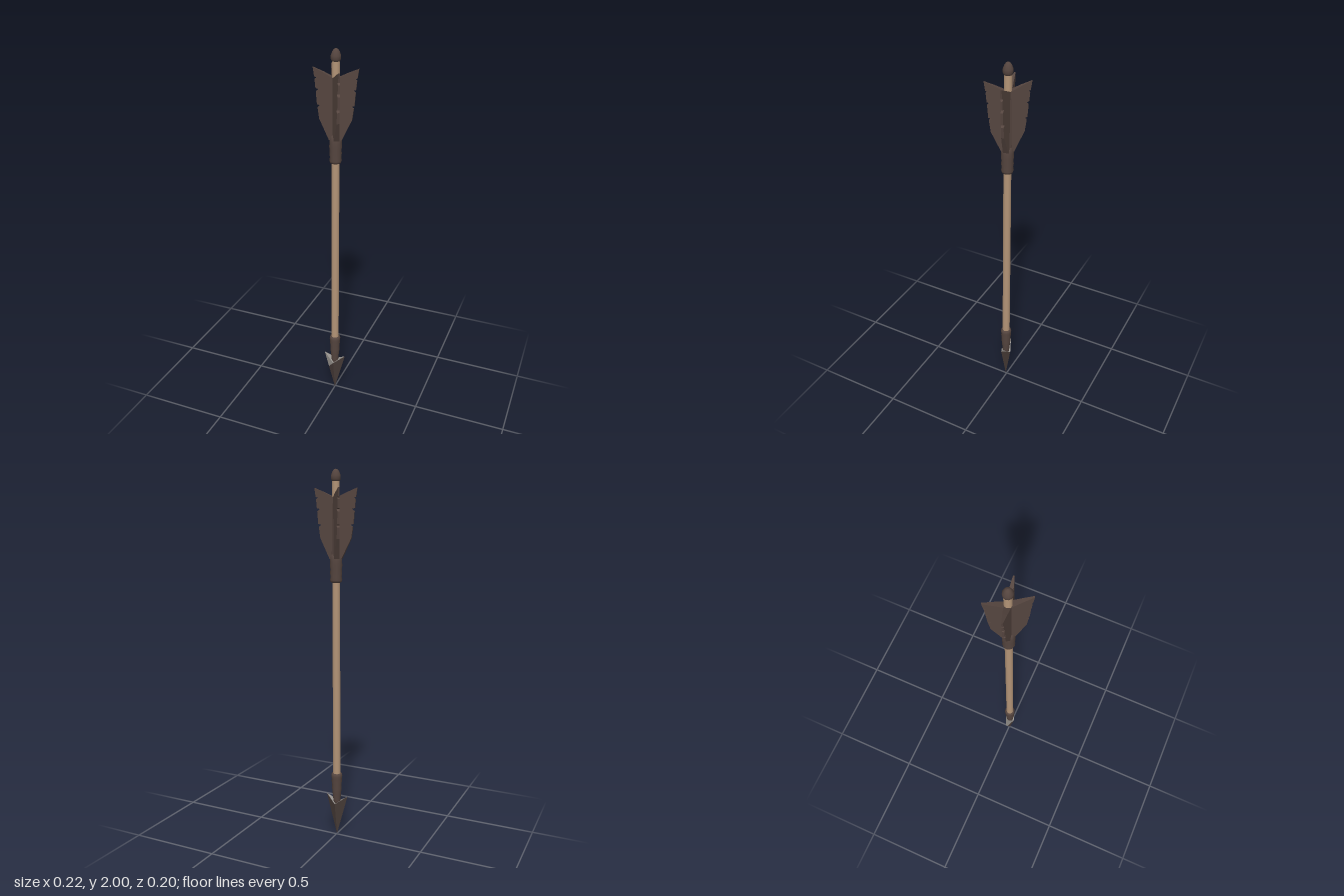
import * as THREE from 'three';

const mat = (name, color, side = THREE.FrontSide) => {
  const m = new THREE.MeshStandardMaterial({ color, side });
  m.name = name;
  return m;
};

export function createModel() {
  const wood = mat('paleWood', 0xb39477);
  const dark = mat('darkLeather', 0x55453f);
  const darkOpen = dark;
  dark.side = THREE.DoubleSide;
  const iron = mat('darkIron', 0x483c38, THREE.DoubleSide);
  const steel = mat('bareSteel', 0x9c9893, THREE.DoubleSide);

  const model = new THREE.Group();
  model.name = 'arrow';
  const add = (name, geometry, material, parent = model) => {
    const mesh = new THREE.Mesh(geometry, material);
    mesh.name = name;
    parent.add(mesh);
    return mesh;
  };
  const lathe = (pts, sides = 12) =>
    new THREE.LatheGeometry(pts.map(([r, y]) => new THREE.Vector2(r, y)), sides);

  // Shaft
  const shaft = add('shaft', new THREE.CylinderGeometry(0.0195, 0.021, 1.65, 12), wood);
  shaft.position.y = 1.125;

  // Rounded nock cap
  add('nock', lathe([[0, 1.937], [0.018, 1.937], [0.025, 1.95], [0.025, 1.967],
    [0.018, 1.986], [0.01, 1.997], [0, 2]]), dark);

  // Wrapped bindings: gently ridged sleeves
  add('upperBinding', lathe([[0.018, 1.425], [0.028, 1.428], [0.032, 1.44], [0.029, 1.458],
    [0.032, 1.475], [0.03, 1.495], [0.033, 1.515], [0.031, 1.535], [0.032, 1.55],
    [0.027, 1.57], [0.018, 1.58]]), dark);
  add('lowerBinding', lathe([[0, 0.17], [0.018, 0.18], [0.02, 0.21], [0.024, 0.25], [0.027, 0.28],
    [0.026, 0.3], [0.029, 0.32], [0.028, 0.335], [0.031, 0.35], [0.028, 0.364], [0.018, 0.367]]), dark);

  // Feathers: notched outline, thick at the root and thin at the outer edge
  const outline = [[0.01, 1.55], [0.032, 1.55], [0.058, 1.605], [0.082, 1.655], [0.09, 1.712],
    [0.076, 1.722], [0.093, 1.727], [0.098, 1.79], [0.084, 1.802], [0.1, 1.806],
    [0.104, 1.85], [0.094, 1.858], [0.106, 1.862], [0.113, 1.908], [0.06, 1.885], [0.01, 1.86]];
  const shape = new THREE.Shape(outline.map(([x, y]) => new THREE.Vector2(x, y)));
  const feather = new THREE.ExtrudeGeometry(shape, { depth: 2, bevelEnabled: false });
  const p = feather.attributes.position;
  for (let i = 0; i < p.count; i++) {
    const t = (p.getX(i) - 0.01) / 0.103;
    p.setZ(i, (p.getZ(i) - 1) * THREE.MathUtils.lerp(0.017, 0.0035, t));
  }
  feather.computeVertexNormals();
  [11, 123, 191, 300].forEach((deg, i) => {
    add('feather' + (i + 1), feather, dark).rotation.y = THREE.MathUtils.degToRad(deg);
  });

  // Quill base wrapping the rear of the shaft between the feathers
  const quill = add('quillBase', new THREE.CylinderGeometry(0.023, 0.025, 0.28, 12, 1, true,
    THREE.MathUtils.degToRad(95), THREE.MathUtils.degToRad(190)), darkOpen);
  quill.position.y = 1.69;

  // Barbed head: diamond cross-section with swept-back wings
  const T = [0, 0, 0], L = [-0.065, 0.236, 0], R = [0.062, 0.236, 0];
  const F = [0, 0.19, 0.029], B = [0, 0.19, -0.029], M = [-0.038, 0.138, 0];
  const faces = (...corners) => {
    const g = new THREE.BufferGeometry();
    g.setAttribute('position', new THREE.Float32BufferAttribute(corners.flat(), 3));
    g.computeVertexNormals();
    return g;
  };
  const head = new THREE.Group();
  head.name = 'arrowhead';
  model.add(head);
  add('blade', faces(T, F, M, T, R, F, T, B, R, T, L, B), iron, head);
  add('bareEdges', faces(M, F, L, L, F, B, R, B, F), steel, head);

  // The whole arrow leans very slightly backward
  model.rotation.x = -0.008;
  model.position.z = 0.006;
  const root = new THREE.Group();
  root.add(model);
  return root;
}
